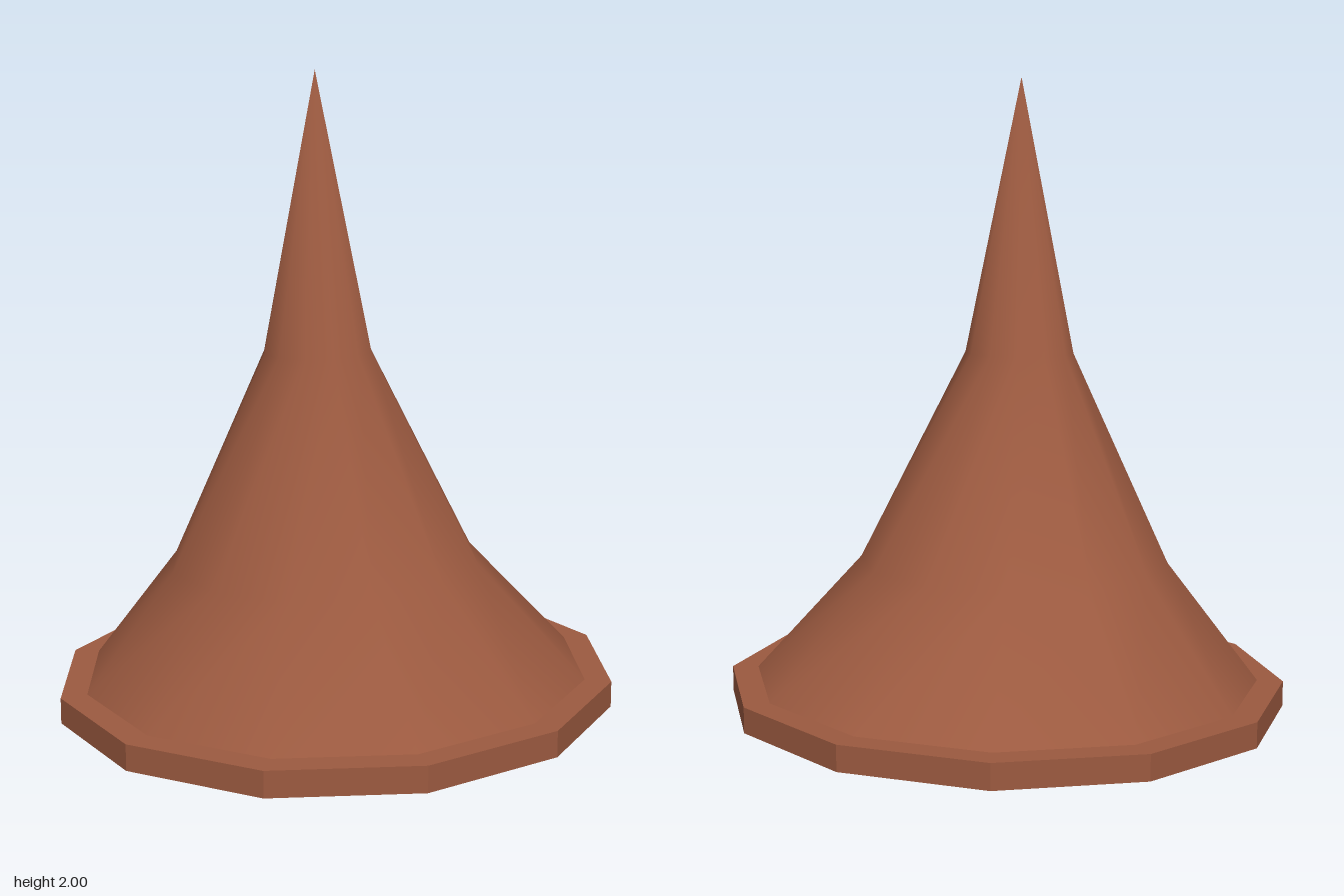
import * as THREE from 'three';

const SIDES = 12;
const TILT = 0.027; // rings dip towards the front

// Skin a stack of rings [radius, y, zCentre, tilt]; a radius of 0 is a single shared point.
// Rings listed bottom to top face outwards, top to bottom face inwards.
function loft(rings, flat = false) {
  const positions = [], index = [], starts = [];
  for (const [r, y, zc = 0, tilt = TILT] of rings) {
    starts.push(positions.length / 3);
    const count = r === 0 ? 1 : SIDES;
    for (let i = 0; i < count; i++) {
      const a = (i / SIDES) * Math.PI * 2;
      const z = Math.cos(a) * r;
      positions.push(Math.sin(a) * r, y - z * tilt, z + zc);
    }
  }
  for (let k = 0; k < rings.length - 1; k++) {
    const at = (ring, i) => starts[ring] + (rings[ring][0] === 0 ? 0 : i % SIDES);
    for (let i = 0; i < SIDES; i++) {
      const a = at(k, i), b = at(k, i + 1), c = at(k + 1, i + 1), d = at(k + 1, i);
      if (a !== b) index.push(a, b, c);
      if (c !== d) index.push(a, c, d);
    }
  }
  let geometry = new THREE.BufferGeometry();
  geometry.setAttribute('position', new THREE.Float32BufferAttribute(positions, 3));
  geometry.setIndex(index);
  if (flat) geometry = geometry.toNonIndexed();
  geometry.computeVertexNormals();
  return geometry;
}

export function createModel() {
  const group = new THREE.Group();
  const brown = new THREE.MeshStandardMaterial({ color: 0x9c5a40 });
  brown.name = 'brown felt';

  const add = (name, geometry) => {
    const mesh = new THREE.Mesh(geometry, brown);
    mesh.name = name;
    group.add(mesh);
  };

  // Pointed crown, bent slightly forwards
  add('crown', loft([
    [0.775, 0.176], [0.474, 0.53, 0.045], [0.165, 1.172, 0.075], [0, 2, 0.085],
  ]));

  // Faceted brim: underside, rim, top
  add('brim', loft([
    [0.6, 0.096], [0.855, 0.096], [0.855, 0.174], [0.6, 0.174],
  ], true));

  // Flared band under the brim
  add('headBand', loft([[0.51, 0, 0, 0], [0.605, 0.1]]));

  // Hollow inside, facing inwards
  add('lining', loft([
    [0, 1.9, 0.083], [0.145, 1.165, 0.074], [0.45, 0.53, 0.04], [0.51, 0, 0, 0],
  ]));

  return group;
}
